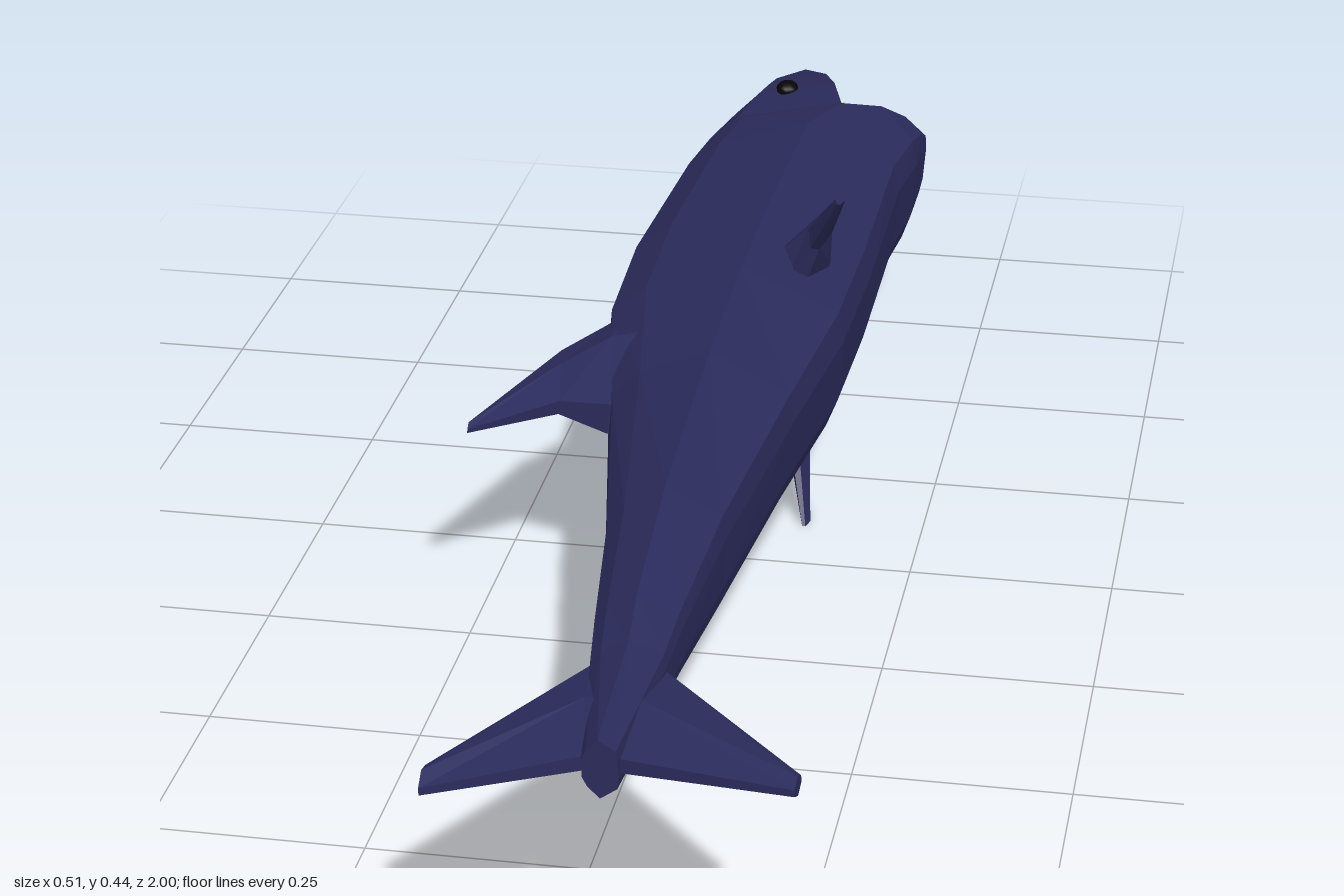
import * as THREE from 'three';

const skin = new THREE.MeshStandardMaterial({ color: 0x2b2b5c, flatShading: true });
const toothMat = new THREE.MeshStandardMaterial({ color: 0xe6dfb4, flatShading: true });
const eyeMat = new THREE.MeshStandardMaterial({ color: 0x060608 });

const CENTRE_Y = 0.24;

// The body lies on its side (back toward -x) with a slight twist along its length.
function place(x, y, z) {
  const t = THREE.MathUtils.mapLinear(THREE.MathUtils.clamp(z, 0.2, 0.9), 0.2, 0.9, -0.087, 0.03);
  const c = Math.cos(t), s = Math.sin(t);
  return new THREE.Vector3(x * c - y * s, CENTRE_Y + x * s + y * c, z);
}

// Skin a closed solid over equal-sized loops of [x, y, z] points.
function loft(name, loops) {
  const rings = loops.map((l) => l.map((p) => place(...p)));
  const tris = [];
  const n = rings[0].length;
  for (let i = 0; i < rings.length - 1; i++) {
    for (let j = 0; j < n; j++) {
      const k = (j + 1) % n;
      const [a, b, c, d] = [rings[i][j], rings[i][k], rings[i + 1][k], rings[i + 1][j]];
      tris.push([a, b, c], [a, c, d]);
    }
  }
  for (const [ring, first] of [[rings[0], true], [rings[rings.length - 1], false]]) {
    const mid = ring.reduce((m, p) => m.add(p), new THREE.Vector3()).divideScalar(n);
    for (let j = 0; j < n; j++) {
      const a = ring[j], b = ring[(j + 1) % n];
      tris.push(first ? [mid, b, a] : [mid, a, b]);
    }
  }
  // Turn all faces outward
  const o = rings[0][0];
  const vol = tris.reduce((v, [a, b, c]) =>
    v + a.clone().sub(o).dot(b.clone().sub(o).cross(c.clone().sub(o))), 0);
  const pts = tris.flatMap(([a, b, c]) => (vol < 0 ? [a, c, b] : [a, b, c]));
  const geo = new THREE.BufferGeometry().setFromPoints(pts);
  geo.computeVertexNormals();
  const mesh = new THREE.Mesh(geo, skin);
  mesh.name = name;
  return mesh;
}

// Half profiles of the cross-section, from the middle to the widest ridge
const backHalf = (back, ridge, belly, h) =>
  [[back, 0.3 * h], [back + 0.14 * (belly - back), 0.62 * h], [ridge, h]];
const bellyHalf = (ridge, belly, h) =>
  [[belly - 0.08 * (belly - ridge), 0.64 * h], [belly, 0.34 * h]];
const mirrorLoop = (half, z) => [
  ...half.map(([x, y]) => [x, y, z]),
  ...half.slice().reverse().map(([x, y]) => [x, -y, z]),
];

// A fin from root to tip: each row is [lead u, lead z, trail u, trail z, half thickness]
function fin(name, rows, toPoint) {
  return loft(name, rows.map(([lu, lz, tu, tz, t], i) => {
    const mu = (lu + tu) / 2, mz = (lz + tz) / 2;
    return [[lu, lz, 0.35 * t], [mu, mz, t], [tu, tz, 0.35 * t],
      [tu, tz, -0.35 * t], [mu, mz, -t], [lu, lz, -0.35 * t]]
      .map(([u, z, w]) => toPoint(u, z, w, i));
  }));
}

// Piecewise linear lookup along z
function lerpAt(table, z) {
  for (let i = 0; i < table.length - 1; i++) {
    const [z0, x0] = table[i], [z1, x1] = table[i + 1];
    if (z <= z1) return THREE.MathUtils.mapLinear(z, z0, z1, x0, x1);
  }
  return table[table.length - 1][1];
}

// A U-shaped row of teeth
function teeth(name, count, width, reach, lineX, dir) {
  const group = new THREE.Group();
  group.name = name;
  const geo = new THREE.ConeGeometry(0.006, 0.018, 4);
  const up = new THREE.Vector3(0, 1, 0);
  const d = new THREE.Vector3(...dir).normalize();
  for (let i = 0; i < count; i++) {
    const a = (i / (count - 1) - 0.5) * Math.PI * 0.96;
    const z = -0.72 - reach * Math.cos(a);
    const tooth = new THREE.Mesh(geo, toothMat);
    tooth.position.copy(place(lineX(z), width * Math.sin(a), z)).addScaledVector(d, 0.007);
    tooth.quaternion.setFromUnitVectors(up, d);
    tooth.name = 'tooth';
    group.add(tooth);
  }
  return group;
}

export function createModel() {
  const model = new THREE.Group();
  model.name = 'shark';

  // Trunk: [z, back x, ridge x, belly x, half height]
  const trunk = [
    [-0.71, -0.13, 0.045, 0.157, 0.112], [-0.6, -0.141, 0.015, 0.147, 0.121],
    [-0.3, -0.155, 0.01, 0.15, 0.121], [-0.1, -0.147, 0.01, 0.146, 0.12],
    [0.13, -0.1, 0.012, 0.122, 0.11], [0.45, -0.04, 0.025, 0.096, 0.09],
    [0.65, -0.012, 0.035, 0.085, 0.058], [0.73, 0.0, 0.042, 0.083, 0.044],
    [0.93, 0.032, 0.05, 0.07, 0.034],
  ];
  model.add(loft('body', trunk.map(([z, a, r, b, h]) =>
    mirrorLoop([...backHalf(a, r, b, h), ...bellyHalf(r, b, h)], z))));

  // Upper jaw and snout: [z, back x, mouth x, half height]
  const upper = [
    [-1, -0.085, -0.055, 0.03], [-0.97, -0.09, -0.04, 0.052], [-0.9, -0.102, -0.002, 0.077],
    [-0.82, -0.114, 0.02, 0.097], [-0.71, -0.13, 0.045, 0.112],
  ];
  model.add(loft('upperJaw', upper.map(([z, a, m, h]) =>
    mirrorLoop(backHalf(a, m, m + 0.4 * (m - a), h), z))));

  // Lower jaw: [z, mouth x, belly x, half height]
  const lower = [
    [-0.83, 0.139, 0.154, 0.042], [-0.81, 0.125, 0.159, 0.066],
    [-0.77, 0.094, 0.158, 0.092], [-0.71, 0.045, 0.157, 0.112],
  ];
  model.add(loft('lowerJaw', lower.map(([z, m, b, h]) =>
    mirrorLoop([[m, h], ...bellyHalf(m, b, h)], z))));

  // Teeth
  const line = (rows, col) => (z) => lerpAt(rows.map((r) => [r[0], r[col]]), z);
  model.add(teeth('upperTeeth', 25, 0.088, 0.155, line(upper, 2), [1, 0, -0.25]));
  model.add(teeth('lowerTeeth', 21, 0.078, 0.1, line(lower, 1), [-0.77, 0, -0.64]));

  // Eyes
  for (const side of [1, -1]) {
    const eye = new THREE.Mesh(new THREE.SphereGeometry(0.017, 12, 8), eyeMat);
    eye.scale.set(0.9, 0.6, 1.1);
    eye.position.copy(place(-0.045, side * 0.079, -0.82));
    eye.name = side > 0 ? 'upperSideEye' : 'lowerSideEye';
    model.add(eye);
  }

  // Dorsal fin and tail lobes, flat in the plane of the back
  const flat = (x, z, w) => [x, w, z];
  model.add(fin('dorsalFin', [
    [-0.1, -0.1, -0.06, 0.13, 0.07], [-0.145, -0.1, -0.104, 0.13, 0.055],
    [-0.192, -0.02, -0.165, 0.12, 0.025], [-0.257, 0.2, -0.255, 0.218, 0.007],
  ], flat));
  model.add(fin('upperTailLobe', [
    [0.045, 0.74, 0.05, 0.93, 0.026], [0.0, 0.73, 0.03, 0.92, 0.024],
    [-0.126, 0.95, -0.122, 0.997, 0.012],
  ], flat));
  model.add(fin('lowerTailLobe', [
    [0.045, 0.74, 0.045, 0.93, 0.026], [0.083, 0.73, 0.067, 0.92, 0.024],
    [0.257, 0.922, 0.255, 0.953, 0.011],
  ], flat));

  // Pectoral fins, mirrored
  const finX = [0.065, 0.072, 0.092, 0.121];
  for (const side of [1, -1]) {
    model.add(fin(side > 0 ? 'upperSidePectoralFin' : 'lowerSidePectoralFin', [
      [0.06, -0.27, 0.05, -0.16, 0.035], [0.105, -0.265, 0.085, -0.16, 0.035],
      [0.152, -0.23, 0.135, -0.155, 0.015], [0.222, -0.132, 0.222, -0.1, 0.006],
    ], (u, z, w, i) => [finX[i] + w, side * u, z]));
  }
  return model;
}
